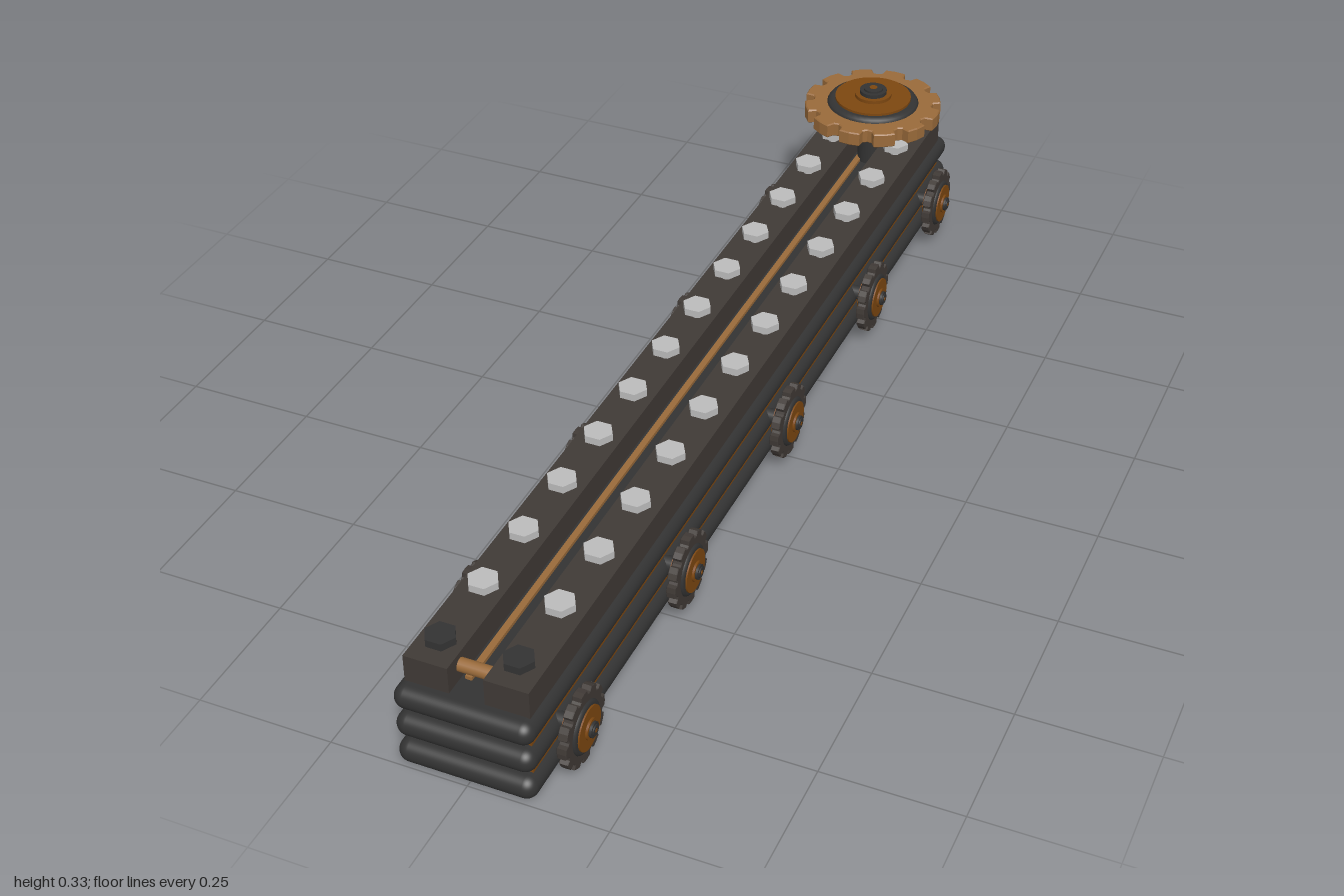
import * as THREE from 'three';
import { RoundedBoxGeometry } from 'three/addons/geometries/RoundedBoxGeometry.js';

const mat = (color, flatShading = false) => new THREE.MeshStandardMaterial({ color, flatShading });
const black = mat(0x333333);
const iron = mat(0x403a36);
const copper = mat(0x7d4710);
const bronze = mat(0x996a3a);
const steel = mat(0xbbbbbb, true);
const darkBolt = mat(0x333333, true);
const CX = -0.006; // the body sits slightly off centre

function add(parent, name, geometry, material, x = 0, y = 0, z = 0) {
  const mesh = new THREE.Mesh(geometry, material);
  mesh.name = name;
  mesh.position.set(x, y, z);
  parent.add(mesh);
  return mesh;
}

// Toothed ring lying flat, centred on y = 0
function gearGeometry(outer, root, thickness, teeth) {
  const shape = new THREE.Shape();
  const step = (Math.PI * 2) / teeth;
  const profile = [[-0.3, outer], [0, outer * 1.005], [0.3, outer], [0.36, root * 1.03], [0.5, root], [0.64, root * 1.03]];
  for (let i = 0; i < teeth; i++) {
    profile.forEach(([t, r], k) => {
      const a = (i + t) * step;
      shape[i + k === 0 ? 'moveTo' : 'lineTo'](Math.cos(a) * r, Math.sin(a) * r);
    });
  }
  shape.closePath();
  const bevel = thickness * 0.08;
  const geometry = new THREE.ExtrudeGeometry(shape, {
    depth: thickness - 2 * bevel, bevelThickness: bevel, bevelSize: bevel, bevelOffset: -bevel, bevelSegments: 1,
  });
  geometry.translate(0, 0, bevel - thickness / 2);
  return geometry.rotateX(-Math.PI / 2);
}

// Gear wheel with layered hub discs on its y axis
function makeWheel(name, gearMaterial) {
  const wheel = new THREE.Group();
  wheel.name = name;
  add(wheel, 'toothedRing', gearGeometry(0.142, 0.122, 0.03, 12), gearMaterial);
  const rim = [[0, -0.027], [0.084, -0.027], [0.092, -0.022], [0.096, -0.014], [0.096, 0.014], [0.092, 0.02], [0.084, 0.024], [0, 0.024]];
  add(wheel, 'hubRim', new THREE.LatheGeometry(rim.map(p => new THREE.Vector2(...p)), 40), black);
  const disc = (n, r, y0, y1, m) => add(wheel, n, new THREE.CylinderGeometry(r, r, y1 - y0, 36), m, 0, (y0 + y1) / 2);
  disc('hubPlate', 0.079, -0.031, 0.029, copper);
  disc('hubWasher', 0.038, 0.029, 0.036, copper);
  disc('hubCap', 0.028, 0.028, 0.044, black);
  disc('hubButton', 0.02, 0.044, 0.048, black);
  disc('hubPin', 0.008, 0.048, 0.049, copper);
  return wheel;
}

// Hexagonal bolt with a narrow neck
function makeBolt(material) {
  const bolt = new THREE.Group();
  bolt.name = 'bolt';
  const head = add(bolt, 'boltHead', new THREE.CylinderGeometry(0.028, 0.028, 0.014, 6), material, 0, 0.231);
  head.rotation.y = Math.PI / 6;
  add(bolt, 'boltCollar', new THREE.CylinderGeometry(0.019, 0.012, 0.007, 12), material, 0, 0.2205);
  add(bolt, 'boltNeck', new THREE.CylinderGeometry(0.01, 0.01, 0.02, 12), material, 0, 0.21);
  return bolt;
}

export function createModel() {
  const model = new THREE.Group();
  model.name = 'gearedBeam';

  // Core and the three rounded slabs
  add(model, 'core', new THREE.BoxGeometry(0.221, 0.13, 1.94), copper, CX, 0.085);
  for (const y of [0.0225, 0.0805, 0.1385]) {
    add(model, 'roundedSlab', new RoundedBoxGeometry(0.248, 0.044, 2, 6, 0.0215), black, CX, y);
  }

  // Top rails with runners and cross rods in the channel
  for (const s of [-1, 1]) {
    add(model, 'topRail', new THREE.BoxGeometry(0.079, 0.056, 1.94), iron, CX + s * 0.071, 0.184);
    add(model, 'channelRunner', new THREE.BoxGeometry(0.012, 0.01, 1.86), bronze, CX + s * 0.018, 0.162);
    const rod = add(model, 'crossRod', new THREE.CylinderGeometry(0.012, 0.012, 0.066, 16), bronze, CX, 0.189, s * 0.93);
    rod.rotation.z = Math.PI / 2;
  }

  // Two rows of bolts, the front pair dark
  for (let i = 0; i < 14; i++) {
    for (const s of [-1, 1]) {
      const bolt = makeBolt(i === 0 ? darkBolt : steel);
      bolt.position.set(-0.003 + s * 0.069, 0, 0.925 - i * 0.1435);
      model.add(bolt);
    }
  }

  // Large hand wheel on its shaft
  add(model, 'wheelShaft', new THREE.CylinderGeometry(0.028, 0.028, 0.1, 28), black, -0.003, 0.21, -0.843);
  const topWheel = makeWheel('topWheel', bronze);
  topWheel.position.set(-0.003, 0.281, -0.843);
  model.add(topWheel);

  // Half-size wheels along both sides
  const rows = [[1, 0.148, [0.885, 0.467, 0.003, -0.45, -0.842]], [-1, -0.151, [0.69, 0.27, -0.195, -0.643]]];
  for (const [side, x, places] of rows) {
    for (const z of places) {
      const wheel = makeWheel('sideWheel', iron);
      wheel.scale.set(0.5, side > 0 ? 0.58 : 0.56, 0.5);
      wheel.scale.y = 0.56;
      wheel.rotation.z = -side * Math.PI / 2;
      wheel.position.set(x, 0.087, z);
      model.add(wheel);
      const axle = add(model, 'sideAxle', new THREE.CylinderGeometry(0.014, 0.014, 0.06, 16), black, x - side * 0.03, 0.087, z);
      axle.rotation.z = Math.PI / 2;
    }
  }
  return model;
}
